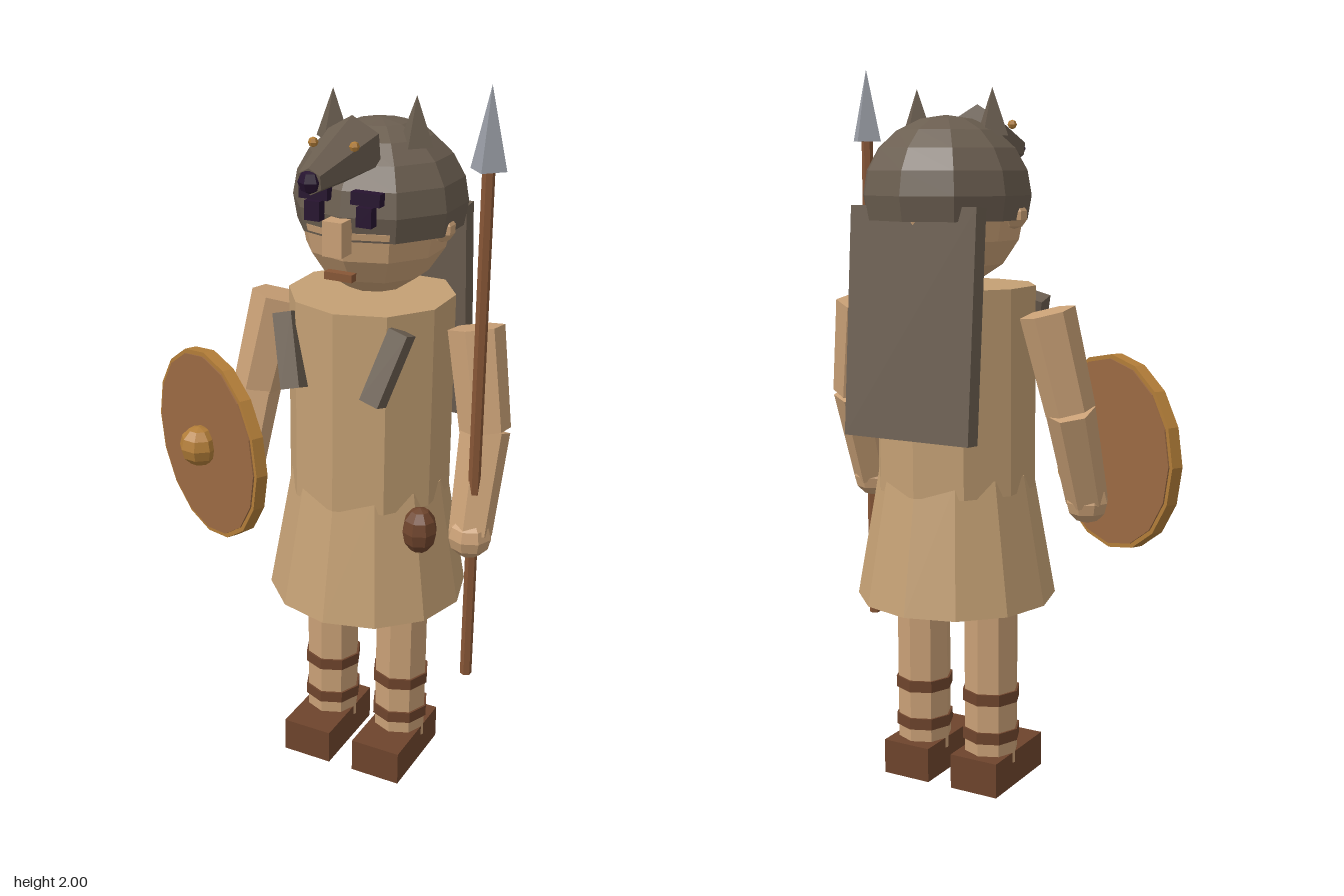
import * as THREE from 'three';

export function createModel() {
  const root = new THREE.Group();
  root.name = 'spearWarrior';
  const CX = 0.111, CZ = -0.045; // body axis

  const mat = (name, color) => {
    const m = new THREE.MeshStandardMaterial({ color, flatShading: true });
    m.name = name;
    return m;
  };
  const skin = mat('skin', 0xc9a076), tunic = mat('tunic cloth', 0xc4a074);
  const hide = mat('wolf hide', 0x6b5e50), leather = mat('dark leather', 0x6e442c);
  const wood = mat('shield wood', 0x9b6a43), shaftWood = mat('shaft wood', 0x875636);
  const bronze = mat('bronze', 0xb27d38), steel = mat('steel', 0x9a9ea6);
  const dark = mat('dark purple', 0x26132f);
  hide.side = THREE.DoubleSide;

  const add = (name, geo, m, x, y, z, parent = root) => {
    const mesh = new THREE.Mesh(geo, m);
    mesh.name = name;
    mesh.position.set(x, y, z);
    parent.add(mesh);
    return mesh;
  };
  const box = (w, h, d) => new THREE.BoxGeometry(w, h, d);
  const cyl = (rt, rb, h, n) => new THREE.CylinderGeometry(rt, rb, h, n);
  const ball = (r, w = 8, h = 6) => new THREE.SphereGeometry(r, w, h).rotateY(Math.PI / 2);
  // Tapered limb running from a (radius ra) to b (radius rb)
  const limb = (name, a, b, ra, rb, n, m) => {
    const A = new THREE.Vector3(...a), B = new THREE.Vector3(...b);
    const d = A.clone().sub(B), c = A.clone().add(B).multiplyScalar(0.5);
    const mesh = add(name, cyl(ra, rb, d.length(), n), m, c.x, c.y, c.z);
    mesh.quaternion.setFromUnitVectors(new THREE.Vector3(0, 1, 0), d.normalize());
    return mesh;
  };

  // Tunic
  add('torso', cyl(0.223, 0.223, 0.555, 10), tunic, CX, 1.138, CZ);
  add('skirt', cyl(0.214, 0.278, 0.36, 12), tunic, CX, 0.725, CZ);

  // Head under the hide cap
  add('head', ball(0.2, 10, 8), skin, CX, 1.615, -0.063);
  add('nose', box(0.055, 0.09, 0.055), skin, CX, 1.61, 0.157);
  add('mouth', box(0.078, 0.02, 0.025), shaftWood, CX, 1.505, 0.138);
  const cap = new THREE.SphereGeometry(0.231, 10, 6, 0, Math.PI * 2, 0, Math.PI * 0.6);
  add('hideCap', cap.rotateY(Math.PI / 2).scale(1, 0.9, 1), hide, CX, 1.657, -0.087);

  // Wolf snout on the cap
  limb('snout', [CX, 1.818, 0.065], [CX, 1.78, 0.297], 0.081, 0.034, 6, hide);
  add('snoutTip', ball(0.03, 6, 4), dark, CX, 1.78, 0.295);

  // Hide hanging down the back
  add('backHide', box(0.383, 0.61, 0.05), hide, CX + 0.003, 1.325, -0.252).rotation.x = 0.08;

  // Paired parts
  for (const s of [-1, 1]) {
    const side = s > 0 ? 'left' : 'right';
    const X = (o) => CX + s * o;

    add(side + 'Leg', cyl(0.077, 0.077, 0.53, 8), skin, X(0.111), 0.335, CZ);
    for (const y of [0.154, 0.267])
      add(side + 'LegBand', cyl(0.083, 0.083, 0.033, 8), leather, X(0.111), y, CZ);
    add(side + 'Shoe', box(0.147, 0.1, 0.27), leather, X(0.111), 0.05, -0.013);

    const elbow = [X(0.345), 1.09, -0.026];
    limb(side + 'UpperArm', [X(0.293), 1.355, -0.063], elbow, 0.075, 0.068, 6, skin);
    limb(side + 'Forearm', elbow, [X(0.352), 0.83, 0.065], 0.067, 0.058, 6, skin);
    add(side + 'Hand', ball(0.06, 8, 6), skin, X(0.352), 0.825, 0.068);

    add(side + 'Ear', ball(0.036, 6, 5), skin, X(0.19), 1.605, -0.058);
    add(side + 'Brow', box(0.08, 0.032, 0.028), dark, X(0.072), 1.711, 0.134);
    add(side + 'Eye', box(0.042, 0.05, 0.03), dark, X(0.072), 1.667, 0.14);

    add(side + 'WolfEar', new THREE.ConeGeometry(0.048, 0.125, 4), hide, X(0.117), 1.873, -0.045);
    add(side + 'WolfEye', ball(0.013, 6, 4), bronze, X(0.056), 1.845, 0.175);

    const paw = add(side + 'HidePaw', box(0.055, 0.2, 0.055), hide, X(0.14), 1.285, 0.147);
    paw.rotation.set(-0.29, 0, -s * 0.27);
  }

  // Belt pouch
  add('pouch', ball(0.052, 8, 6).scale(0.93, 1.27, 0.93), leather, 0.326, 0.815, 0.085);

  // Spear
  add('spearShaft', cyl(0.016, 0.016, 1.41, 6), shaftWood, 0.469, 1.105, 0.067);
  add('spearHead', new THREE.ConeGeometry(0.047, 0.2, 4), steel, 0.469, 1.9, 0.067);

  // Round shield
  const shield = new THREE.Group();
  shield.name = 'shield';
  shield.position.set(-0.293, 0.96, 0.132);
  shield.rotation.y = -0.495;
  root.add(shield);
  const disc = (r, h) => cyl(r, r, h, 16).rotateX(Math.PI / 2);
  add('shieldRim', disc(0.27, 0.034), bronze, 0, 0, 0, shield);
  add('shieldFace', disc(0.258, 0.042), wood, 0, 0, 0, shield);
  add('shieldBoss', ball(0.057, 8, 6), bronze, 0, 0, 0.038, shield);

  return root;
}
